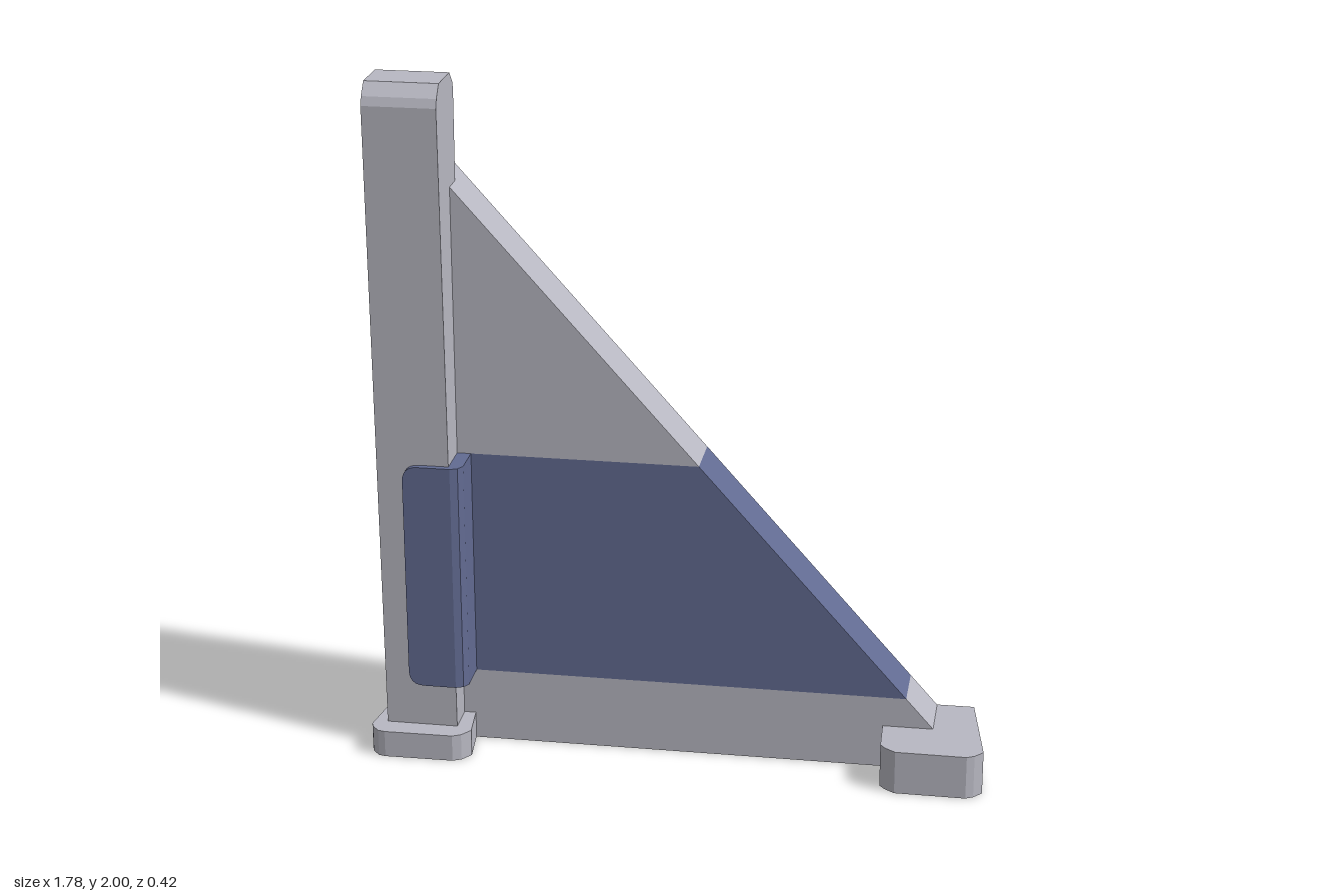
import * as THREE from 'three';

const grey = new THREE.MeshStandardMaterial({ color: 0xb8b8c2 });
grey.name = 'light grey';
const blue = new THREE.MeshStandardMaterial({ color: 0x626b92 });
blue.name = 'slate blue';

const shapeOf = (points) => new THREE.Shape(points.map(([a, b]) => new THREE.Vector2(a, b)));
const extrude = (shape, depth) =>
  new THREE.ExtrudeGeometry(shape, { depth, bevelEnabled: false, curveSegments: 6 });

function part(name, geometry, material, parent) {
  const mesh = new THREE.Mesh(geometry, material);
  mesh.name = name;
  parent.add(mesh);
  return mesh;
}

// Upright prism from a plan outline of [x, z] points
function planPrism(points, y0, y1) {
  return extrude(shapeOf(points.map(([x, z]) => [x, -z])), y1 - y0)
    .rotateX(-Math.PI / 2)
    .translate(0, y0, 0);
}

export function createModel() {
  const model = new THREE.Group();
  model.name = 'cornerWall';

  // The wall and post share one slightly turned frame, starting at the back corner
  const frame = new THREE.Group();
  frame.name = 'wallAndPost';
  frame.position.set(-0.832, 0, -0.212);
  frame.rotation.y = -0.06;
  model.add(frame);

  // Triangular wall cut into level bands
  const TOP = 1.92, FOOT = 0.13, LENGTH = 1.587, THICK = 0.16;
  const BAND_LOW = 0.22, BAND_HIGH = 0.9;
  const slopeX = (y) => (LENGTH * (TOP - y)) / (TOP - FOOT);
  const wall = (points) => extrude(shapeOf(points), THICK);
  part('wallBase', wall([
    [0, 0], [LENGTH, 0], [LENGTH, FOOT], [slopeX(BAND_LOW), BAND_LOW], [0, BAND_LOW],
  ]), grey, frame);
  part('wallBand', wall([
    [0, BAND_LOW], [slopeX(BAND_LOW), BAND_LOW], [slopeX(BAND_HIGH), BAND_HIGH], [0, BAND_HIGH],
  ]), blue, frame);
  part('wallTop', wall([
    [0, BAND_HIGH], [slopeX(BAND_HIGH), BAND_HIGH], [0, TOP],
  ]), grey, frame);

  // Post with a leaning front and chamfered head, from its side profile
  const POST = 0.208;
  part('post', extrude(shapeOf([
    [THICK, 0], [0.255, 0], [0.289, 1.94], [0.28, 1.965], [0.25, 2], [0.125, 2],
    [0.09, 1.965], [0.085, 1.94], [0.09, 1.68], [THICK, 1.68],
  ]), POST).rotateY(-Math.PI / 2).translate(POST, 0, 0), grey, frame);

  // Band painted round the outer side of the post
  const height = BAND_HIGH - BAND_LOW;
  part('bandEnd', new THREE.BoxGeometry(0.004, height, 0.04), blue, frame)
    .position.set(-0.001, BAND_LOW + height / 2, 0.18);

  // Wrap on the post front, with rounded outer corners
  const R = 0.045, L = 0.077, W = 0.205;
  const wrap = new THREE.Shape();
  wrap.moveTo(W, BAND_LOW);
  wrap.lineTo(W, BAND_HIGH);
  wrap.lineTo(L + R, BAND_HIGH);
  wrap.quadraticCurveTo(L, BAND_HIGH, L, BAND_HIGH - R);
  wrap.lineTo(L, BAND_LOW + R);
  wrap.quadraticCurveTo(L, BAND_LOW, L + R, BAND_LOW);
  part('wrapFront', extrude(wrap, 0.039).translate(0, 0, 0.25), blue, frame);

  // Wrap round the inner corner of the post, down to the wall
  part('wrapCorner', planPrism([
    [W, 0.15], [W, 0.289], [0.215, 0.289], [0.236, 0.28], [0.248, 0.26], [0.248, 0.15],
  ], BAND_LOW, BAND_HIGH), blue, frame);

  // Feet with cut corners
  part('postFoot', planPrism([
    [-0.832, -0.212], [-0.89, 0.06], [-0.885, 0.08], [-0.865, 0.105], [-0.845, 0.111],
    [-0.645, 0.121], [-0.62, 0.11], [-0.595, 0.08], [-0.601, -0.06],
  ], 0, 0.08), grey, model);
  part('endFoot', planPrism([
    [0.6, -0.1], [0.595, 0.155], [0.61, 0.175], [0.638, 0.197], [0.84, 0.21],
    [0.862, 0.2], [0.887, 0.175], [0.86, -0.112], [0.75, -0.118],
  ], 0, FOOT), grey, model);

  return model;
}
